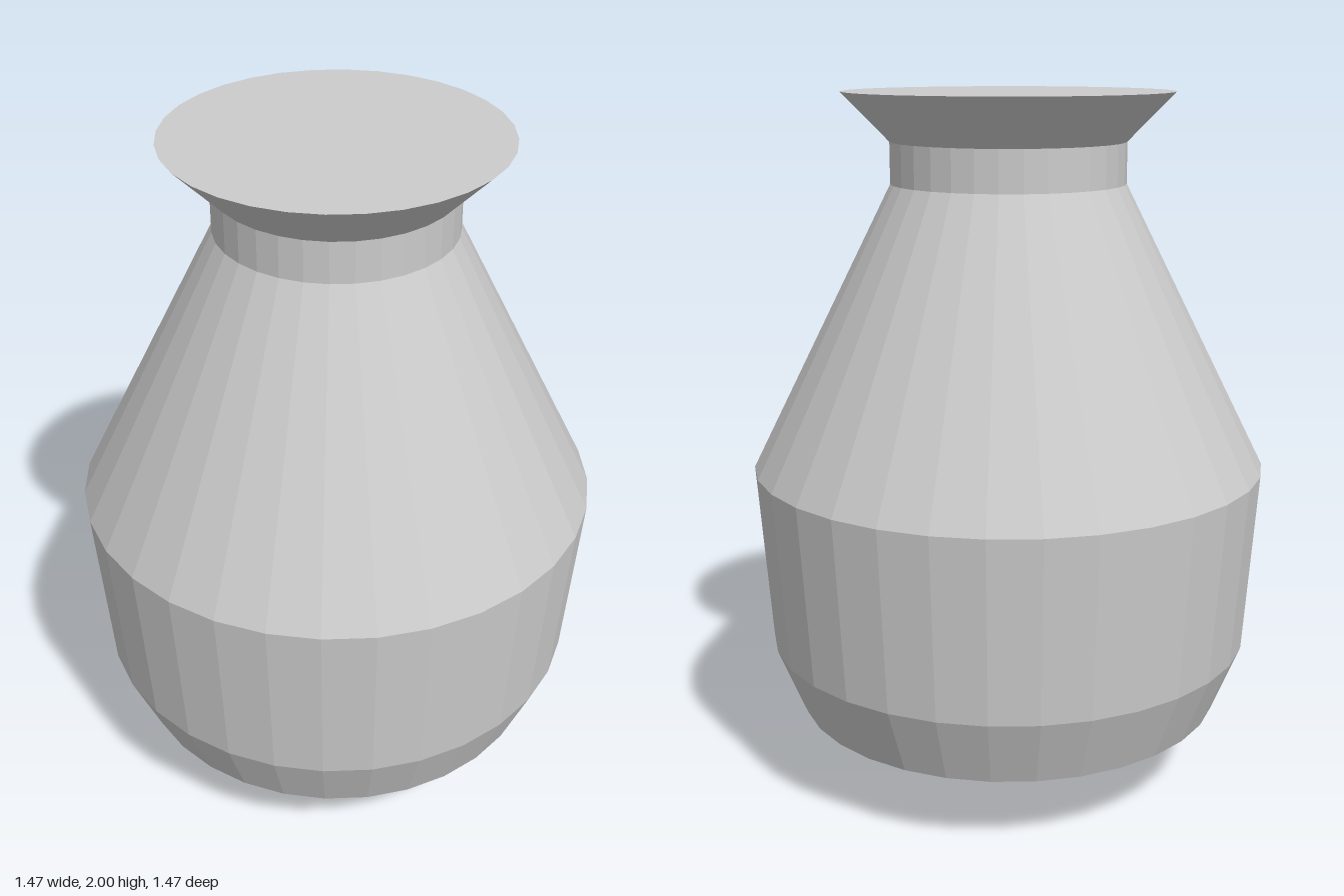
import * as THREE from 'three';

const SIDES = 32;

export function createModel() {
  const group = new THREE.Group();
  group.name = 'vase';
  const material = new THREE.MeshStandardMaterial({ color: 0xcccccc, flatShading: true });

  // Turns a [radius, height] profile, listed bottom to top, into a faceted part
  const addTurned = (name, profile) => {
    const points = profile.map(([r, y]) => new THREE.Vector2(r, y));
    const mesh = new THREE.Mesh(new THREE.LatheGeometry(points, SIDES), material);
    mesh.name = name;
    group.add(mesh);
  };

  // Belly with a small flat foot, tapered underside and sloping shoulder
  addTurned('body', [
    [0, 0], [0.14, 0], [0.62, 0.23], [0.7, 0.43], [0.735, 0.95], [0.33, 1.75],
  ]);

  // Straight neck
  addTurned('neck', [[0.33, 1.75], [0.33, 1.865]]);

  // Flared rim, closed on top
  addTurned('rim', [[0.33, 1.865], [0.462, 2], [0, 2]]);

  return group;
}
